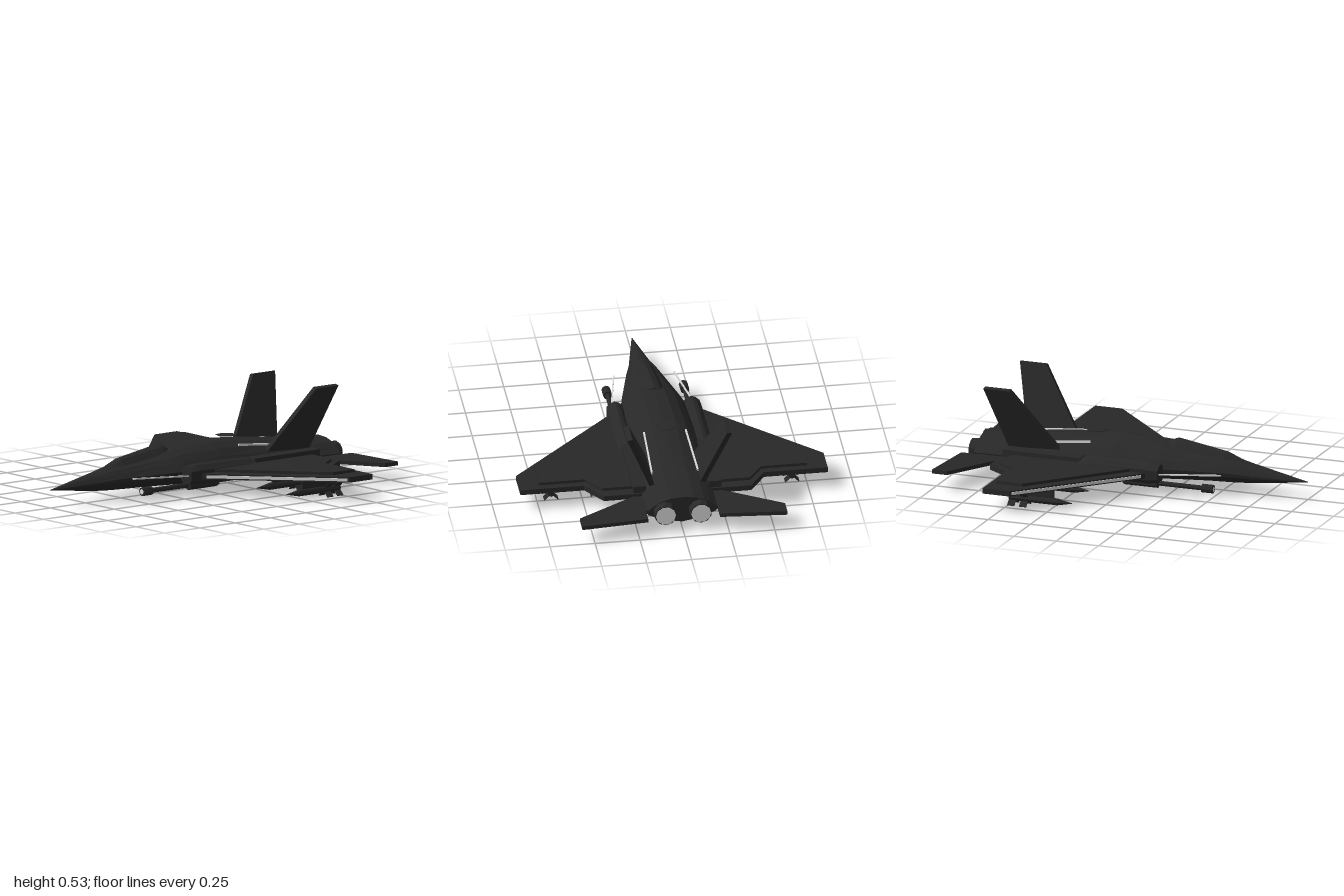
import * as THREE from 'three';

const mat = (name, color) => Object.assign(
  new THREE.MeshStandardMaterial({ color, flatShading: true, side: THREE.DoubleSide }), { name });

// Closed skin through rings of [x, y, z] points, ordered from front to back
function loft(rings) {
  const p = [], n = rings[0].length;
  for (let i = 0; i < rings.length - 1; i++) {
    for (let j = 0; j < n; j++) {
      const k = (j + 1) % n;
      const a = rings[i][j], b = rings[i][k], c = rings[i + 1][k], d = rings[i + 1][j];
      p.push(...a, ...b, ...d, ...b, ...c, ...d);
    }
  }
  const f = rings[0], r = rings[rings.length - 1];
  for (let j = 1; j < n - 1; j++) p.push(...f[0], ...f[j + 1], ...f[j], ...r[0], ...r[j], ...r[j + 1]);
  const g = new THREE.BufferGeometry();
  g.setAttribute('position', new THREE.Float32BufferAttribute(p, 3));
  g.computeVertexNormals();
  return g;
}

// Ring from a half profile of [width share, height share from -1 to 1]
function ring(half, z, w, top, bottom, mid, cx = 0) {
  const at = (u, v) => [cx + u * w, mid + v * (v > 0 ? top - mid : mid - bottom), z];
  const right = half.map(([u, v]) => at(u, v));
  const left = half.slice(1, -1).reverse().map(([u, v]) => at(-u, v));
  return [...right, ...left];
}

// Flat plate from an [x, z] outline, between two heights
function plate(points, s, y0, y1) {
  const shape = new THREE.Shape(points.map(([x, z]) => new THREE.Vector2(s * x, -z)));
  return new THREE.ExtrudeGeometry(shape, { depth: y1 - y0, bevelEnabled: false })
    .rotateX(-Math.PI / 2).translate(0, y0, 0);
}

export function createModel() {
  const model = new THREE.Group();
  const skin = mat('charcoal skin', 0x282828);
  const metal = mat('pale metal', 0xd8d8d8);
  const add = (name, geo, material = skin, parent = model) => {
    const m = new THREE.Mesh(geo, material);
    m.name = name;
    parent.add(m);
    return m;
  };
  const box = (w, h, d, x, y, z) => new THREE.BoxGeometry(w, h, d).translate(x, y, z);
  const rod = (rFront, rBack, z0, z1, x, y, n = 8) =>
    new THREE.CylinderGeometry(rFront, rBack, z0 - z1, n).rotateX(Math.PI / 2).translate(x, y, (z0 + z1) / 2);
  // Pale square strip between two points
  const strip = (name, a, b, w, h) => {
    const A = new THREE.Vector3(...a), B = new THREE.Vector3(...b);
    const m = add(name, new THREE.BoxGeometry(w, h, A.distanceTo(B)), metal);
    m.position.copy(A).lerp(B, 0.5);
    m.lookAt(B);
  };

  // Faceted fuselage: z, half width, top, bottom, middle
  const hull = [[0, 1], [0.33, 0.95], [0.62, 0.74], [0.8, 0.48], [1, 0.1], [0.97, -0.2], [0.55, -0.72], [0, -1]];
  add('fuselage', loft([
    [1, 0.002, 0.102, 0.098, 0.1], [0.68, 0.065, 0.168, 0.06, 0.11], [0.57, 0.095, 0.192, 0.052, 0.12],
    [0.3, 0.16, 0.225, 0.042, 0.125], [0.18, 0.185, 0.25, 0.036, 0.125], [-0.1, 0.2, 0.265, 0.022, 0.12],
    [-0.4, 0.2, 0.238, 0.016, 0.12], [-0.65, 0.2, 0.208, 0.026, 0.115], [-0.9, 0.195, 0.195, 0.04, 0.11],
  ].map(s => ring(hull, ...s))));

  // Canopy
  const dome = [[0, 1], [0.45, 0.8], [1, 0], [0, -1]];
  add('canopy', loft([
    [0.62, 0.03, 0.185, 0.15, 0.17], [0.52, 0.055, 0.228, 0.15, 0.18], [0.24, 0.078, 0.275, 0.17, 0.205],
    [0.19, 0.07, 0.256, 0.17, 0.21],
  ].map(s => ring(dome, ...s))));

  // Dorsal disc
  add('dorsalDisc', new THREE.CylinderGeometry(0.058, 0.058, 0.003, 6).rotateY(0.26).translate(0, 0.269, -0.245));

  const podHalf = [[0, 1], [0.45, 0.85], [1, 0.35], [1, -0.6], [0.6, -1], [0, -1]];
  for (const s of [1, -1]) {
    const side = s > 0 ? 'left' : 'right';

    // Wing with raised panel and bright leading edge
    add(side + 'Wing', plate([[0.12, 0.2], [0.2, 0.2], [0.27, 0.13], [0.855, -0.43], [0.855, -0.59],
      [0.5, -0.59], [0.41, -0.72], [0.12, -0.72]], s, 0.1, 0.13));
    add(side + 'WingPanel', plate([[0.15, 0.06], [0.26, 0.05], [0.745, -0.4], [0.745, -0.55],
      [0.49, -0.55], [0.41, -0.66], [0.15, -0.66]], s, 0.13, 0.146));
    strip(side + 'WingLeadingEdge', [s * 0.28, 0.115, 0.12], [s * 0.845, 0.115, -0.421], 0.01, 0.016);

    // Tailplane
    add(side + 'Tailplane', plate([[0.12, -0.64], [0.2, -0.69], [0.57, -0.91], [0.57, -1],
      [0.2, -0.97], [0.2, -0.88], [0.12, -0.88]], s, 0.092, 0.114));

    // Canted fin, sheared outward with height
    const finShape = new THREE.Shape([[0.4, 0.17], [0.65, 0.525], [0.805, 0.525], [0.71, 0.17]]
      .map(p => new THREE.Vector2(...p)));
    const fin = new THREE.ExtrudeGeometry(finShape, { depth: 0.028, bevelEnabled: false })
      .rotateY(Math.PI / 2).translate(-0.014, 0, 0);
    const pos = fin.attributes.position;
    for (let i = 0; i < pos.count; i++) {
      const x = pos.getX(i), y = pos.getY(i);
      pos.setXY(i, x + s * (0.152 + 0.385 * (y - 0.2)), y - s * 0.2 * x);
    }
    fin.computeVertexNormals();
    add(side + 'Fin', fin);

    // Intake pod and rear fairing
    add(side + 'Pod', loft([
      [0.21, 0.046, 0.175, 0.075, 0.13], [0.15, 0.048, 0.185, 0.065, 0.13],
      [-0.2, 0.048, 0.18, 0.065, 0.13], [-0.26, 0.044, 0.165, 0.08, 0.13],
    ].map(p => ring(podHalf, ...p, s * 0.213))));
    add(side + 'Fairing', box(0.07, 0.075, 0.46, s * 0.21, 0.132, -0.48));

    // Cannon
    add(side + 'CannonBarrel', rod(0.014, 0.014, 0.48, 0.1, s * 0.215, 0.068));
    add(side + 'CannonMuzzle', rod(0.025, 0.025, 0.525, 0.46, s * 0.215, 0.068));
    add(side + 'CannonBore', new THREE.CircleGeometry(0.016, 8).translate(s * 0.215, 0.068, 0.527), metal);
    add(side + 'CannonMount', rod(0.034, 0.034, 0.2, 0, s * 0.215, 0.074, 6));

    // Probe and spine strip
    strip(side + 'Probe', [s * 0.235, 0.122, 0.2], [s * 0.168, 0.135, 0.55], 0.008, 0.008);
    strip(side + 'SpineStrip', [s * 0.116, 0.23, -0.24], [s * 0.128, 0.194, -0.62], 0.009, 0.012);

    // Engine nozzle
    add(side + 'Nozzle', rod(0.068, 0.06, -0.86, -0.945, s * 0.098, 0.11, 10));
    add(side + 'NozzleGlow', new THREE.CircleGeometry(0.056, 10).rotateY(Math.PI)
      .translate(s * 0.098, 0.11, -0.947), metal);

    // Missiles on pylons
    for (const x of [0.41, 0.67]) {
      const missile = new THREE.Group();
      missile.name = side + (x < 0.5 ? 'InnerMissile' : 'OuterMissile');
      missile.position.set(s * x, 0.041, 0);
      model.add(missile);
      add('missileBody', rod(0.02, 0.02, -0.22, -0.5, 0, 0), skin, missile);
      add('missileNose', rod(0.001, 0.02, -0.13, -0.22, 0, 0), skin, missile);
      add('missilePylon', box(0.012, 0.05, 0.24, 0, 0.037, -0.36), skin, missile);
      for (const z of [-0.41, -0.48]) {
        for (const turn of [1, -1]) {
          add('missileFins', box(0.11, 0.004, 0.042, 0, 0, 0).rotateZ(turn * Math.PI / 4)
            .translate(0, 0, z), skin, missile);
        }
      }
    }
  }
  return model;
}
